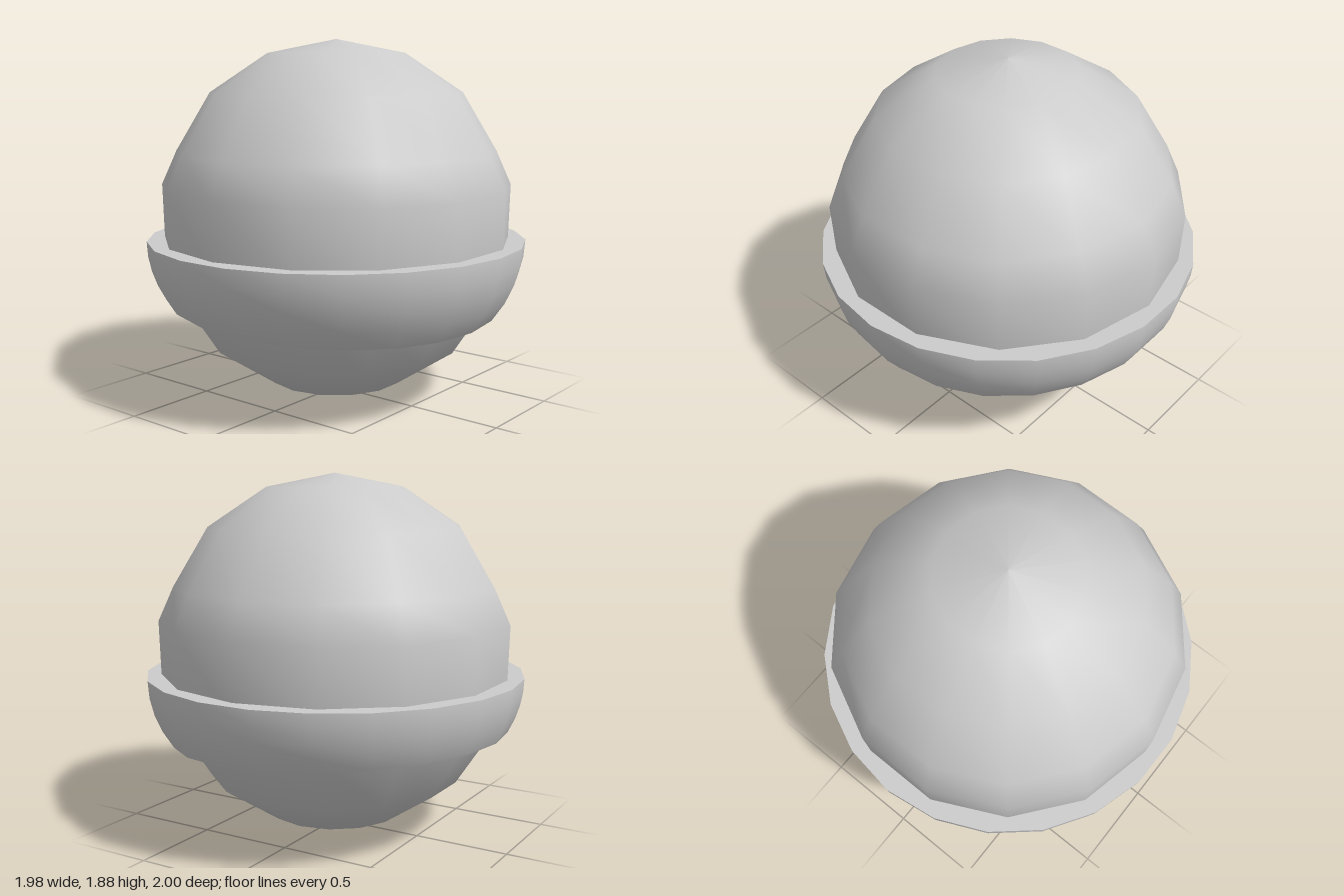
import * as THREE from 'three';

const RIM_Y = 0.84, DEPTH = 0.74, SIDES = 22;

// Slanted plane that trims the underside of the collar
const trimY = (x, z) => 0.503 + 0.02 * x - 0.062 * z;

// Radius of the rounded collar wall at a given height
const wallRadius = (y) => Math.sqrt(1 - ((RIM_Y - y) / DEPTH) ** 2);

// Lower edge of the collar in the direction (dx, dz)
function lowerEdge(dx, dz) {
  let r = 0.9, y = 0.5;
  for (let i = 0; i < 12; i++) {
    y = trimY(dx * r, dz * r);
    r = wallRadius(y);
  }
  return { r, y };
}

function createBall(material) {
  // Polar angle from the bottom (degrees) and radius of each row
  const rows = [[0, 0.94], [22.5, 0.94], [45, 0.94], [67.5, 0.935], [79, 0.935],
    [101, 0.945], [113, 0.92], [135, 0.94], [157.5, 0.94], [180, 0.94]];
  const profile = rows.map(([deg, r]) => {
    const a = THREE.MathUtils.degToRad(deg);
    return new THREE.Vector2(Math.max(0, r * Math.sin(a)), 0.94 - r * Math.cos(a));
  });
  const ball = new THREE.Mesh(new THREE.LatheGeometry(profile, 14, Math.PI / 2), material);
  ball.name = 'ball';
  return ball;
}

function createCollar(material) {
  const collar = new THREE.Group();
  collar.name = 'collar';
  const add = (name, geometry) => {
    const mesh = new THREE.Mesh(geometry, material);
    mesh.name = name;
    collar.add(mesh);
  };

  // Rounded wall: a straight band bent between the slanted edge and the flat rim
  const band = [0, 0.25, 0.5, 0.75, 1].map((t) => new THREE.Vector2(1, t));
  const wall = new THREE.LatheGeometry(band, SIDES);
  const p = wall.attributes.position, n = wall.attributes.normal;
  const v = new THREE.Vector3();
  for (let i = 0; i < p.count; i++) {
    const dx = p.getX(i), dz = p.getZ(i);
    const y = THREE.MathUtils.lerp(lowerEdge(dx, dz).y, RIM_Y, p.getY(i));
    const r = wallRadius(y);
    p.setXYZ(i, dx * r, y, dz * r);
    v.set(dx * r, (y - RIM_Y) / DEPTH ** 2, dz * r).normalize();
    n.setXYZ(i, v.x, v.y, v.z);
  }
  add('collarWall', wall);

  // Flat rim
  const rim = new THREE.CircleGeometry(1, SIDES, Math.PI / 2);
  rim.rotateX(-Math.PI / 2).translate(0, RIM_Y, 0);
  add('collarRim', rim);

  // Slanted underside
  const under = new THREE.CircleGeometry(1, SIDES, Math.PI / 2);
  under.rotateX(Math.PI / 2);
  const q = under.attributes.position;
  for (let i = 0; i < q.count; i++) {
    const dx = q.getX(i), dz = q.getZ(i);
    if (Math.hypot(dx, dz) < 0.5) {
      q.setXYZ(i, 0, trimY(0, 0), 0);
    } else {
      const edge = lowerEdge(dx, dz);
      q.setXYZ(i, dx * edge.r, edge.y, dz * edge.r);
    }
  }
  under.computeVertexNormals();
  add('collarUnderside', under);
  return collar;
}

export function createModel() {
  const material = new THREE.MeshStandardMaterial({ color: 0xcccccc });
  const model = new THREE.Group();
  model.name = 'ballInCollar';
  model.add(createBall(material), createCollar(material));
  return model;
}
